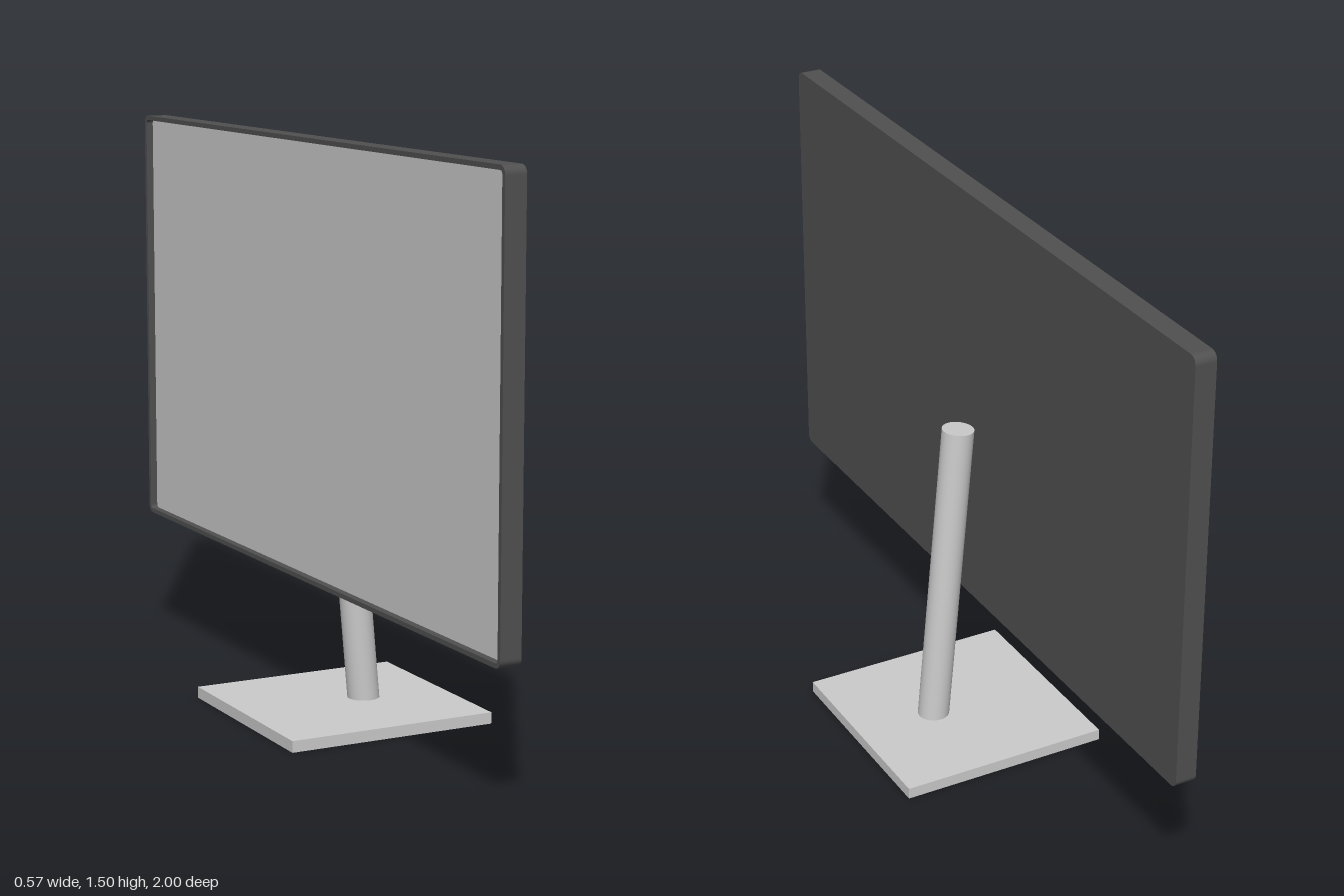
import * as THREE from 'three';

const WIDTH = 2, HEIGHT = 1.14, CENTRE_Y = 0.93;
const BACK_X = -0.057, BODY_DEPTH = 0.036, RIM_DEPTH = 0.02, BEZEL = 0.012;

const grey = new THREE.MeshStandardMaterial({ color: 0xcccccc });
const dark = new THREE.MeshStandardMaterial({ color: 0x505050 });

// Rounded rectangle centred on the origin; works for both shapes and holes
function roundedRect(path, w, h, r) {
  const x = w / 2, y = h / 2;
  path.moveTo(-x + r, -y);
  path.lineTo(x - r, -y);
  path.absarc(x - r, -y + r, r, -Math.PI / 2, 0);
  path.lineTo(x, y - r);
  path.absarc(x - r, y - r, r, 0, Math.PI / 2);
  path.lineTo(-x + r, y);
  path.absarc(-x + r, y - r, r, Math.PI / 2, Math.PI);
  path.lineTo(-x, -y + r);
  path.absarc(-x + r, -y + r, r, Math.PI, Math.PI * 1.5);
  return path;
}

function addMesh(parent, name, geometry, material) {
  const mesh = new THREE.Mesh(geometry, material);
  mesh.name = name;
  parent.add(mesh);
  return mesh;
}

export function createModel() {
  const model = new THREE.Group();
  model.name = 'monitor';

  // Panel, built facing +z and then turned so the screen faces -x
  const panel = new THREE.Group();
  panel.name = 'panel';
  panel.position.set(BACK_X, CENTRE_Y, 0);
  panel.rotation.y = -Math.PI / 2;
  model.add(panel);

  const outline = () => roundedRect(new THREE.Shape(), WIDTH, HEIGHT, 0.022);
  const inner = [WIDTH - 2 * BEZEL, HEIGHT - 2 * BEZEL, 0.01];
  const extrude = (shape, depth) =>
    new THREE.ExtrudeGeometry(shape, { depth, bevelEnabled: false, curveSegments: 6 });

  addMesh(panel, 'housing', extrude(outline(), BODY_DEPTH), dark);

  // Thin raised bezel around the recessed screen
  const rim = outline();
  rim.holes.push(roundedRect(new THREE.Path(), ...inner));
  addMesh(panel, 'bezel', extrude(rim, RIM_DEPTH), dark).position.z = BODY_DEPTH;

  const screen = new THREE.ShapeGeometry(roundedRect(new THREE.Shape(), ...inner), 6);
  addMesh(panel, 'screen', screen, grey).position.z = BODY_DEPTH + 0.001;

  // Leaning round post, its foot sunk into the base
  const foot = new THREE.Vector3(0.0635, 0.018, 0);
  const head = new THREE.Vector3(-0.012, 0.871, 0);
  const lean = head.clone().sub(foot);
  const post = addMesh(model, 'post', new THREE.CylinderGeometry(0.042, 0.042, lean.length(), 32), grey);
  post.position.copy(foot).add(head).multiplyScalar(0.5);
  post.quaternion.setFromUnitVectors(new THREE.Vector3(0, 1, 0), lean.normalize());

  // Flat square base
  addMesh(model, 'base', new THREE.BoxGeometry(0.57, 0.03, 0.57), grey).position.y = 0.015;

  return model;
}
